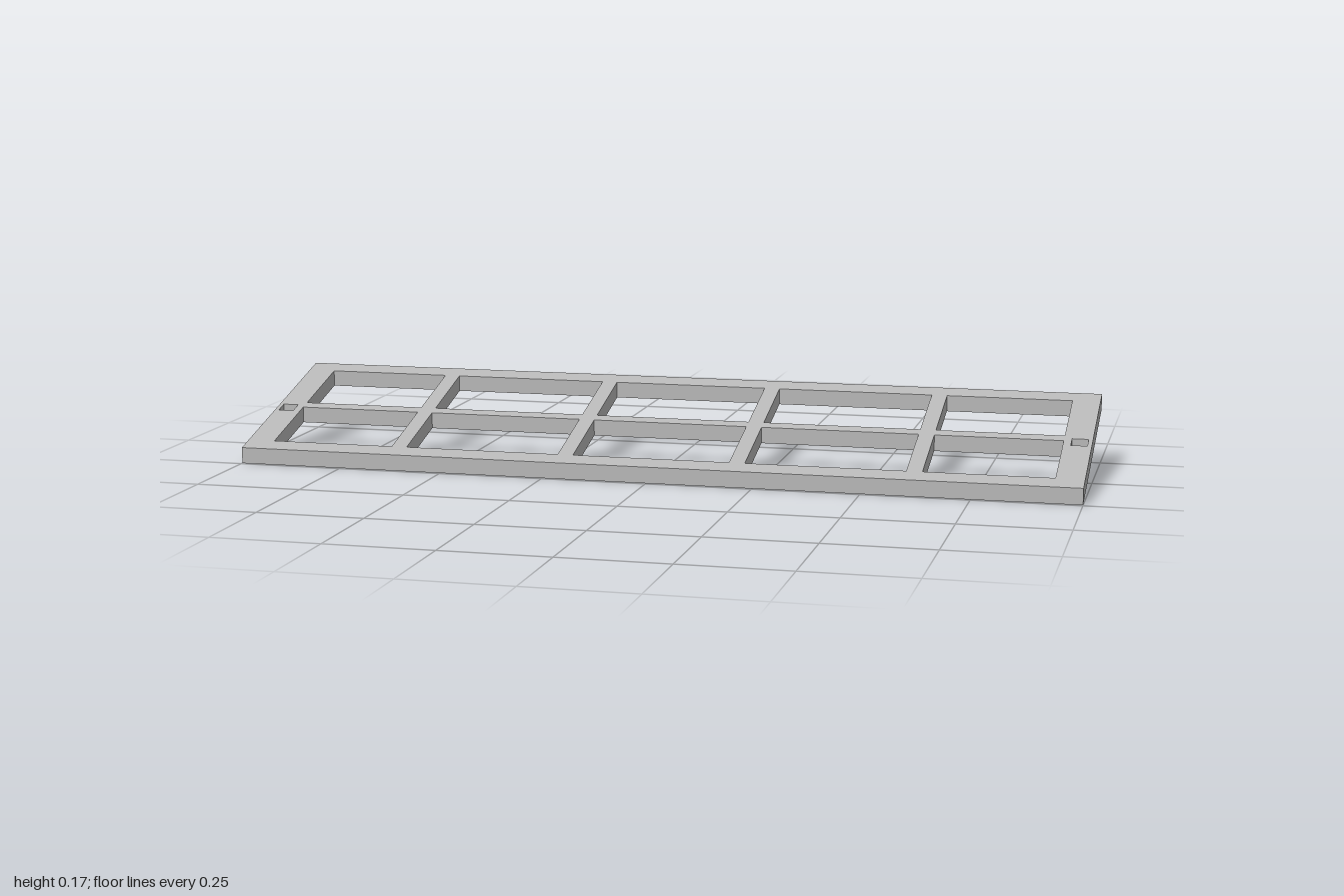
import * as THREE from 'three';

const HALF_DEPTH = 0.243, THICKNESS = 0.038, RISE = 0.131;

// Rectangle given in plan (x, z); shape y is -z
function rectangle(path, x0, x1, z0, z1) {
  path.moveTo(x0, -z1);
  path.lineTo(x1, -z1);
  path.lineTo(x1, -z0);
  path.lineTo(x0, -z0);
  path.closePath();
  return path;
}

export function createModel() {
  const group = new THREE.Group();
  group.name = 'slopedFrame';
  const grey = new THREE.MeshStandardMaterial({ color: 0xb8b8b8 });
  grey.name = 'grey';

  // Outer outline
  const plan = rectangle(new THREE.Shape(), -1, 1, -HALF_DEPTH, HALF_DEPTH);

  // Two rows of five openings, leaving the ribs between them
  const columns = [[-0.934, -0.635], [-0.598, -0.224], [-0.187, 0.187], [0.224, 0.598], [0.635, 0.934]];
  for (const [x0, x1] of columns) {
    plan.holes.push(rectangle(new THREE.Path(), x0, x1, -0.2, -0.013));
    plan.holes.push(rectangle(new THREE.Path(), x0, x1, 0.013, 0.2));
  }

  // Small slot in each end rail
  plan.holes.push(rectangle(new THREE.Path(), -0.99, -0.952, 0.001, 0.035));
  plan.holes.push(rectangle(new THREE.Path(), 0.952, 0.99, 0.001, 0.035));

  // Extrude upward, then shear so the back is raised and walls stay vertical
  const geometry = new THREE.ExtrudeGeometry(plan, { depth: THICKNESS, bevelEnabled: false });
  geometry.rotateX(-Math.PI / 2);
  const p = geometry.attributes.position;
  for (let i = 0; i < p.count; i++) {
    p.setY(i, p.getY(i) + RISE * (HALF_DEPTH - p.getZ(i)) / (2 * HALF_DEPTH));
  }
  geometry.computeVertexNormals();

  const frame = new THREE.Mesh(geometry, grey);
  frame.name = 'gridFrame';
  group.add(frame);
  return group;
}
